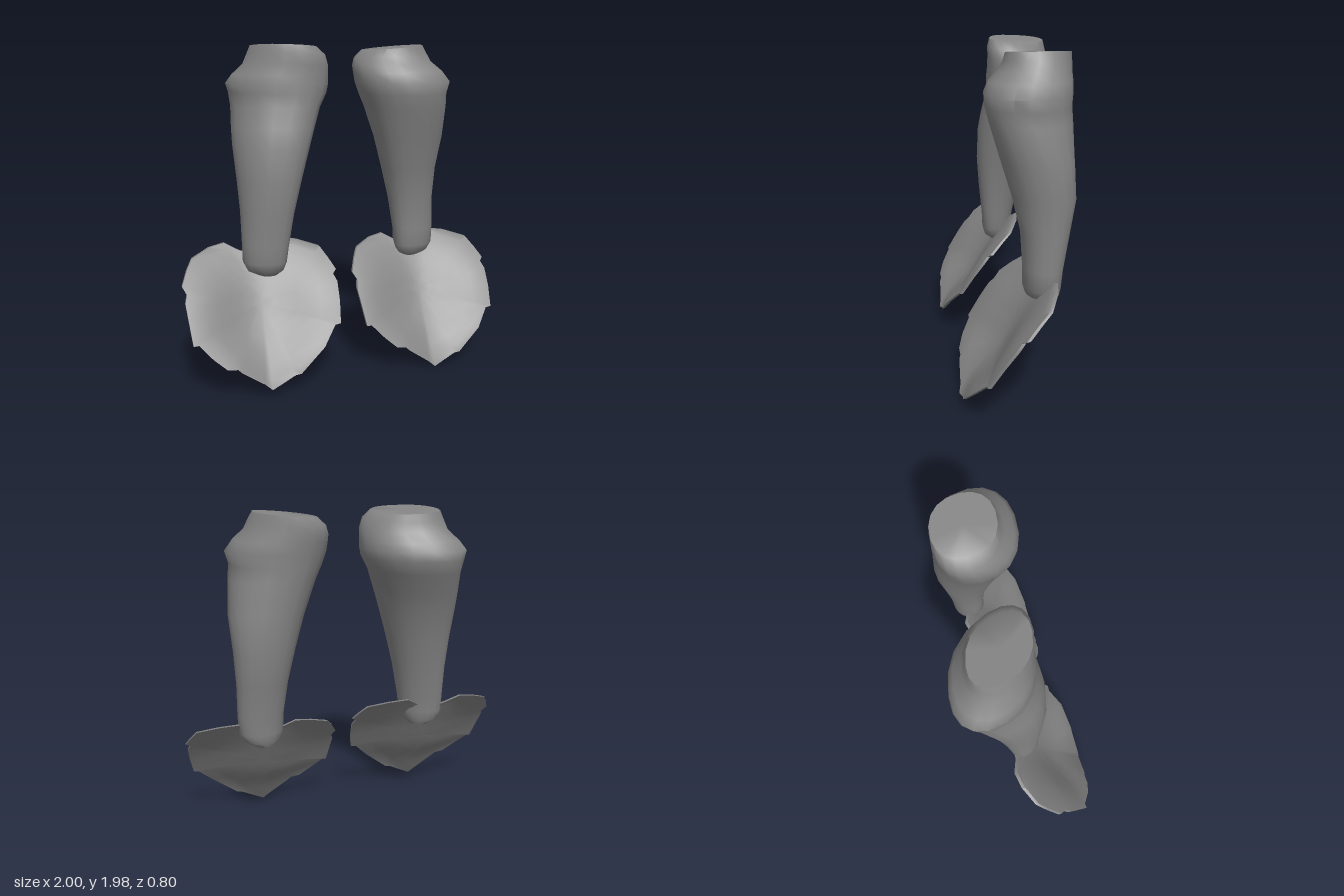
import * as THREE from 'three';
import { toCreasedNormals } from 'three/addons/utils/BufferGeometryUtils.js';

const SIDES = 18;
const { smoothstep, lerp, clamp } = THREE.MathUtils;

// Skin a list of closed rings (equal point counts); the first and last rings are collapsed to a point.
function loft(rings, crease) {
  const n = rings[0].length;
  const index = [];
  for (let i = 0; i < rings.length - 1; i++) {
    for (let j = 0; j < n; j++) {
      const k = (j + 1) % n;
      const a = i * n + j, b = i * n + k, c = a + n, d = b + n;
      if (i === 0) index.push(a, d, c);
      else if (i === rings.length - 2) index.push(a, b, c);
      else index.push(a, b, c, b, d, c);
    }
  }
  const geometry = new THREE.BufferGeometry();
  geometry.setAttribute('position', new THREE.Float32BufferAttribute(rings.flat(2), 3));
  geometry.setIndex(index);
  return toCreasedNormals(geometry, crease);
}

// Leg sections, top to bottom: y, min x, max x, min z, max z.
// skew slants the oval of a section, at the knee and at the ankle; tilt slopes the cut at the top.
const leftLeg = {
  skew: [0.12, -0.15],
  tilt: [0.09, 0],
  sections: [
    [1.955, 0.2, 0.555, -0.285, 0.075],
    [1.91, 0.15, 0.58, -0.29, 0.085],
    [1.86, 0.135, 0.605, -0.29, 0.115],
    [1.81, 0.135, 0.665, -0.29, 0.17],
    [1.75, 0.14, 0.71, -0.285, 0.2],
    [1.68, 0.165, 0.69, -0.28, 0.195],
    [1.6, 0.2, 0.7, -0.28, 0.175],
    [1.4, 0.27, 0.715, -0.28, 0.115],
    [1.2, 0.33, 0.7, -0.285, 0.055],
    [1.0, 0.38, 0.69, -0.25, 0.01],
    [0.8, 0.41, 0.69, -0.215, 0],
    [0.69, 0.415, 0.685, -0.205, 0],
    [0.64, 0.43, 0.655, -0.2, -0.015],
    [0.605, 0.47, 0.59, -0.18, -0.06],
  ],
};
const rightLeg = {
  skew: [0.35, 0.3],
  tilt: [-0.06, 0.08],
  sections: [
    [1.965, -0.5, -0.14, -0.285, 0.07],
    [1.92, -0.52, -0.09, -0.295, 0.085],
    [1.86, -0.545, -0.07, -0.31, 0.085],
    [1.8, -0.605, -0.065, -0.365, 0.085],
    [1.75, -0.64, -0.065, -0.395, 0.09],
    [1.7, -0.625, -0.075, -0.4, 0.09],
    [1.62, -0.62, -0.12, -0.36, 0.095],
    [1.5, -0.63, -0.165, -0.305, 0.12],
    [1.4, -0.635, -0.2, -0.26, 0.135],
    [1.2, -0.625, -0.26, -0.2, 0.14],
    [1.0, -0.615, -0.31, -0.155, 0.125],
    [0.8, -0.615, -0.345, -0.115, 0.105],
    [0.7, -0.615, -0.36, -0.1, 0.1],
    [0.645, -0.595, -0.38, -0.095, 0.085],
    [0.61, -0.53, -0.415, -0.07, 0.04],
  ],
};

// Leg: rounded sections with a slightly tilted cut at the top
function legGeometry({ sections, skew, tilt }) {
  const rings = sections.map(([y, x0, x1, z0, z1]) => {
    const cx = (x0 + x1) / 2, cz = (z0 + z1) / 2;
    const phase = lerp(skew[1], skew[0], smoothstep(y, 1.2, 1.75));
    const cut = smoothstep(y, 1.75, 1.95);
    return Array.from({ length: SIDES }, (_, j) => {
      const t = (j / SIDES) * Math.PI * 2;
      const c = Math.cos(t), s = Math.sin(t + phase);
      const dx = Math.sign(c) * Math.abs(c) ** 0.9 * (x1 - x0) / 2;
      const dz = Math.sign(s) * Math.abs(s) ** 0.9 * (z1 - z0) / 2;
      return [cx + dx, y + cut * (tilt[0] * dx + tilt[1] * dz), cz + dz];
    });
  });
  const collapse = (ring) => {
    const mid = [0, 1, 2].map((k) => ring.reduce((sum, p) => sum + p[k], 0) / SIDES);
    return ring.map(() => mid);
  };
  return loft([collapse(rings[0]), ...rings, collapse(rings[rings.length - 1])], 1);
}

// Ragged leaf outline, clockwise from the notch under the leg
const leafOutline = [
  [0.53, 0.67], [0.62, 0.71], [0.69, 0.755], [0.8, 0.74], [0.93, 0.7], [0.965, 0.64],
  [0.995, 0.58], [0.97, 0.56], [0.985, 0.52], [0.975, 0.42], [0.955, 0.305], [0.92, 0.3],
  [0.83, 0.2], [0.675, 0.075], [0.64, 0.07], [0.5, 0.005], [0.46, 0.04], [0.33, 0.13],
  [0.31, 0.15], [0.25, 0.16], [0.18, 0.22], [0.11, 0.295], [0.08, 0.295], [0.07, 0.42],
  [0.065, 0.5], [0.08, 0.54], [0.06, 0.58], [0.1, 0.65], [0.14, 0.7], [0.25, 0.74],
  [0.35, 0.755], [0.43, 0.71],
];

// Slope of the rim from tip to top, dished backwards along a soft middle rib
const rim = [
  [0, 0.36], [0.12, 0.345], [0.2, 0.315], [0.3, 0.25], [0.4, 0.19],
  [0.5, 0.12], [0.57, 0.06], [0.68, -0.05], [0.76, -0.15],
];
function leafDepth(x, y) {
  let i = 0;
  while (i < rim.length - 2 && y > rim[i + 1][0]) i++;
  const [y0, z0] = rim[i], [y1, z1] = rim[i + 1];
  const edge = z0 + (z1 - z0) * (y - y0) / (y1 - y0);
  // the leaf is narrower towards its tip
  const halfWidth = 0.46 * Math.min(1, 0.12 + y / 0.34);
  const across = Math.min(1, Math.abs(x - 0.52) / halfWidth);
  const along = Math.sin(Math.PI * clamp(y / 0.78, 0, 1)) ** 0.8;
  return edge - 0.06 * along * (1 + Math.cos(Math.PI * across ** 0.95));
}

// Thin leaf: rings grow over the front face, then shrink over the back
function leafGeometry() {
  const steps = [0, 0.15, 0.3, 0.45, 0.6, 0.75, 0.9, 1];
  const face = (offset) => steps.map((s) => leafOutline.map(([px, py]) => {
    const x = 0.525 + (px - 0.525) * s, y = 0.42 + (py - 0.42) * s;
    return [x, y, leafDepth(x, y) + offset];
  }));
  return loft([...face(0.01), ...face(-0.01).reverse()], 0.8);
}

export function createModel() {
  const model = new THREE.Group();
  const material = new THREE.MeshStandardMaterial({ color: 0x858585 });
  const leaf = leafGeometry();
  const parts = [
    ['left', leftLeg, [0, 0, 0]],
    ['right', rightLeg, [-1.06, 0.05, 0.04]],
  ];
  for (const [side, legShape, footOffset] of parts) {
    const leg = new THREE.Mesh(legGeometry(legShape), material);
    leg.name = side + 'Leg';
    const foot = new THREE.Mesh(leaf, material);
    foot.name = side + 'LeafFoot';
    foot.position.set(...footOffset);
    model.add(leg, foot);
  }
  return model;
}
